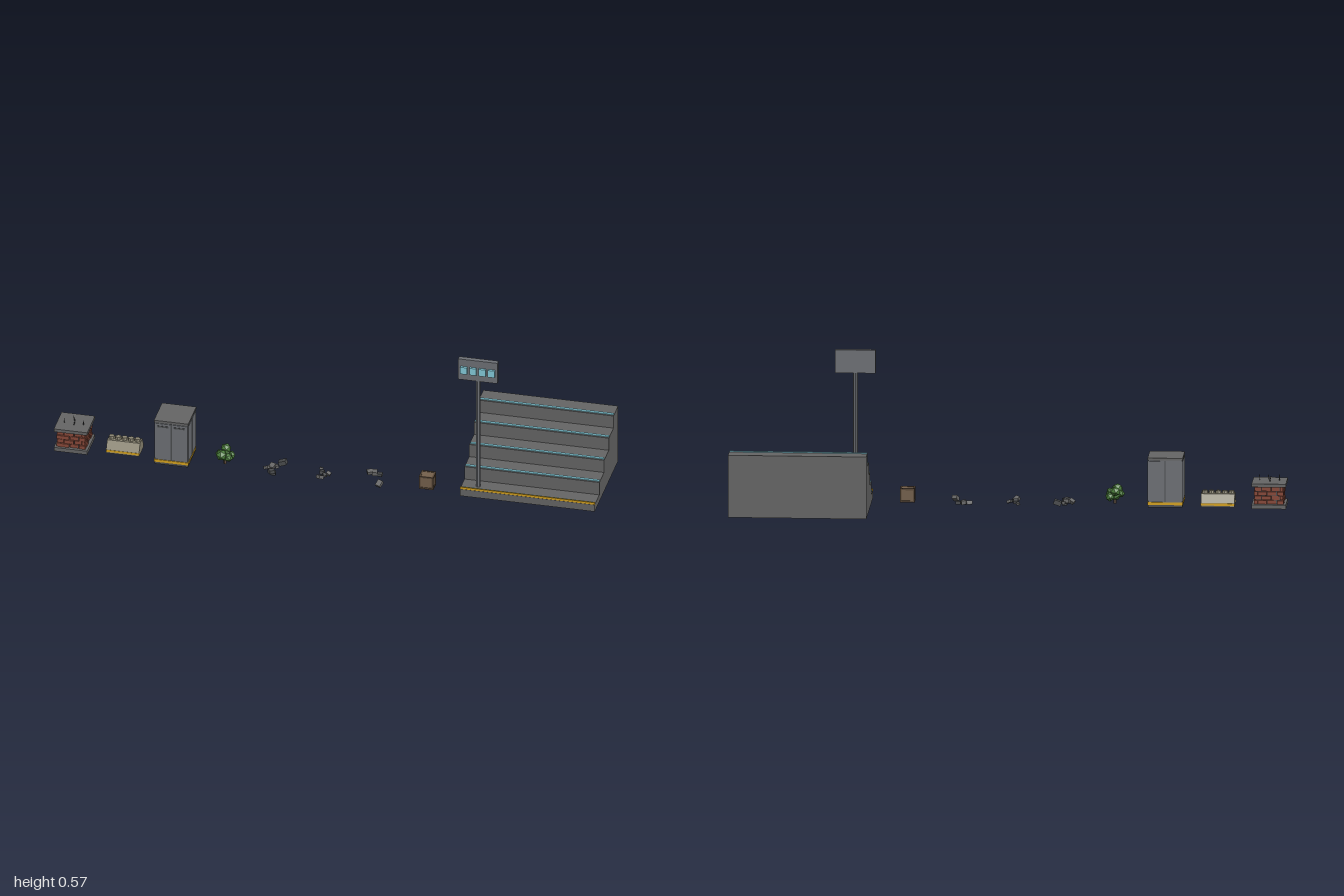
import * as THREE from 'three';

const material = (color) => new THREE.MeshStandardMaterial({ color, flatShading: true });
const M = {
  concrete: material(0x666666), dark: material(0x4c4e50), steel: material(0x6f7277),
  cyan: material(0x86cfde), yellow: material(0xd9a520), wood: material(0x76624d),
  woodDark: material(0x594838), leaf: material(0x4c7f3c), brick: material(0x8a4a3a),
  sand: material(0x8d8875),
};

function add(parent, name, geometry, mat, x = 0, y = 0, z = 0) {
  const mesh = new THREE.Mesh(geometry, mat);
  mesh.name = name;
  mesh.position.set(x, y, z);
  parent.add(mesh);
  return mesh;
}

// Box given by its extents
function box(parent, name, mat, x0, x1, y0, y1, z0, z1) {
  return add(parent, name, new THREE.BoxGeometry(x1 - x0, y1 - y0, z1 - z0), mat,
    (x0 + x1) / 2, (y0 + y1) / 2, (z0 + z1) / 2);
}

function group(parent, name, x = 0, y = 0, z = 0) {
  const g = new THREE.Group();
  g.name = name;
  g.position.set(x, y, z);
  parent.add(g);
  return g;
}

// Stepped seating with a lit strip on each nosing
function bleachers(root) {
  const g = group(root, 'bleachers');
  [0.041, 0.092, 0.142, 0.192, 0.242].forEach((top, i) => {
    const front = 0.174 - i * 0.075;
    box(g, 'step', M.concrete, 0.5, 1, 0.013, top, front - 0.074, front);
    box(g, 'lightStrip', M.cyan, 0.502, 0.998, top, top + 0.003, front - 0.016, front - 0.006);
  });
  box(g, 'warningStrip', M.yellow, 0.5, 1, 0.041, 0.049, 0.168, 0.173);
}

// Tall post with a display board
function scoreboard(root) {
  const g = group(root, 'scoreboard', 0.56, 0, 0.137);
  add(g, 'post', new THREE.CylinderGeometry(0.009, 0.009, 0.443, 8), M.steel, 0, 0.2625, 0);
  box(g, 'board', M.steel, -0.073, 0.073, 0.483, 0.568, -0.009, 0.009);
  for (let i = 0; i < 4; i++) {
    box(g, 'screen', M.cyan, -0.063 + i * 0.034, -0.038 + i * 0.034, 0.511, 0.539, 0.009, 0.018);
  }
}

// Wooden crate with edge battens
function crate(root) {
  const g = group(root, 'crate', 0.371, 0.038, 0.133);
  add(g, 'crateBody', new THREE.BoxGeometry(0.048, 0.048, 0.042), M.wood);
  for (const a of [-1, 1]) {
    for (const b of [-1, 1]) {
      add(g, 'batten', new THREE.BoxGeometry(0.006, 0.051, 0.006), M.woodDark, a * 0.0235, 0, b * 0.0205);
      add(g, 'batten', new THREE.BoxGeometry(0.053, 0.006, 0.006), M.woodDark, 0, a * 0.0225, b * 0.0205);
      add(g, 'batten', new THREE.BoxGeometry(0.006, 0.006, 0.046), M.woodDark, a * 0.0235, b * 0.0225, 0);
    }
  }
}

// Scattered chunks: x, z, size
function rubble(root) {
  const piles = [
    [[-0.173, 0.1, 0.028], [-0.205, 0.133, 0.024], [-0.222, 0.142, 0.02], [-0.2, 0.168, 0.022], [-0.19, 0.125, 0.016]],
    [[-0.03, 0.1, 0.013], [-0.02, 0.13, 0.02], [0.004, 0.132, 0.016], [-0.02, 0.167, 0.022], [-0.008, 0.145, 0.015]],
    [[0.148, 0.09, 0.022], [0.166, 0.093, 0.024], [0.186, 0.097, 0.018], [0.2, 0.166, 0.024]],
  ];
  piles.forEach((pile, p) => {
    const g = group(root, 'rubblePile');
    pile.forEach(([x, z, s], i) => {
      const k = i + p * 5;
      const chunk = add(g, 'chunk', new THREE.BoxGeometry(s, s * 0.6, s * 0.8), k % 3 ? M.concrete : M.dark,
        x, 0.01 + s * 0.4, z);
      chunk.rotation.set(Math.sin(k * 2.1) * 0.35, k * 1.3, Math.cos(k * 1.7) * 0.35);
    });
  });
  // One low chunk touches the ground
  box(root, 'flatChunk', M.dark, -0.204, -0.186, 0, 0.012, 0.15, 0.164);
}

// Clumped low-poly shrub
function bush(root) {
  const g = group(root, 'bush');
  [[-0.378, 0.045, 0.138, 0.024], [-0.385, 0.062, 0.167, 0.021], [-0.362, 0.05, 0.158, 0.018],
    [-0.38, 0.062, 0.115, 0.02], [-0.398, 0.05, 0.138, 0.016], [-0.36, 0.04, 0.122, 0.017]].forEach(([x, y, z, r], i) => {
    const leaf = add(g, 'foliage', new THREE.IcosahedronGeometry(r, 0), M.leaf, x, y, z);
    leaf.rotation.set(i, i * 1.7, 0);
    leaf.scale.y = 0.9;
  });
  add(g, 'stem', new THREE.CylinderGeometry(0.004, 0.006, 0.03, 5), M.woodDark, -0.378, 0.028, 0.14);
}

// Steel cabinet with cap, hazard band and panel seams
function cabinet(root) {
  const g = group(root, 'cabinet', -0.5635, 0, 0.138);
  const h = 0.0635;
  box(g, 'body', M.steel, -0.061, 0.061, 0.013, 0.187, -0.061, 0.061);
  box(g, 'cap', M.concrete, -h, h, 0.187, 0.195, -0.064, 0.064);
  box(g, 'plinth', M.dark, -0.062, 0.062, 0.013, 0.022, -0.062, 0.062);
  box(g, 'hazardBand', M.yellow, -h, h, 0.022, 0.032, -h, h);
  for (let i = 0; i < 4; i++) {
    const side = group(g, 'cabinetSide');
    side.rotation.y = i * Math.PI / 2;
    for (const s of [-1, 1]) {
      box(side, 'panel', M.steel, s * 0.03 - 0.027, s * 0.03 + 0.027, 0.035, 0.183, 0.06, 0.0635);
    }
    box(side, 'seam', M.dark, -0.002, 0.002, 0.033, 0.185, 0.06, 0.062);
  }
  for (const s of [-1, 1]) box(g, 'vent', M.dark, s * 0.03 - 0.02, s * 0.03 + 0.02, 0.168, 0.174, 0.06, 0.065);
}

// Sloped barrier with a row of studs
function barrier(root) {
  const g = group(root, 'barrier', -0.752, 0, 0.13);
  const profile = new THREE.Shape([[-0.035, 0.013], [0.035, 0.013], [0.035, 0.028], [0.018, 0.058], [-0.018, 0.058], [-0.035, 0.028]]
    .map(([x, y]) => new THREE.Vector2(x, y)));
  const body = new THREE.ExtrudeGeometry(profile, { depth: 0.122, bevelEnabled: false });
  body.translate(0, 0, -0.061).rotateY(Math.PI / 2);
  add(g, 'barrierBody', body, M.sand);
  for (const s of [-1, 1]) {
    box(g, 'barrierStripe', M.yellow, -0.0615, 0.0615, 0.018, 0.026, s * 0.0345 - 0.0015, s * 0.0345 + 0.0015);
  }
  for (let i = 0; i < 5; i++) {
    add(g, 'stud', new THREE.CylinderGeometry(0.01, 0.012, 0.01, 8), M.sand, -0.048 + i * 0.024, 0.063, 0);
  }
}

// Broken brick pier between two slabs, with bent reinforcing bars
function brickPier(root) {
  const g = group(root, 'brickPier', -0.938, 0, 0.133);
  box(g, 'lowerSlab', M.concrete, -0.062, 0.062, 0.013, 0.028, -0.062, 0.062);
  box(g, 'upperSlab', M.concrete, -0.062, 0.062, 0.093, 0.105, -0.062, 0.062);
  box(g, 'mortarCore', M.dark, -0.046, 0.046, 0.028, 0.093, -0.046, 0.046);
  for (let row = 0; row < 4; row++) {
    const y = 0.029 + row * 0.016;
    for (let side = 0; side < 4; side++) {
      const course = group(g, 'brickCourse');
      course.rotation.y = side * Math.PI / 2;
      const edges = row % 2 ? [-0.054, -0.027, 0.01, 0.04] : [-0.04, -0.006, 0.028, 0.054];
      for (let i = 0; i < 3; i++) {
        box(course, 'brick', M.brick, edges[i] + 0.0015, edges[i + 1] - 0.0015, y, y + 0.0135, 0.04, 0.054 - (i + row) % 2 * 0.003);
      }
    }
  }
  [[-0.035, 0.01], [-0.003, -0.012], [0.004, 0.015], [0.037, 0.012]].forEach(([x, z], i) => {
    const bar = add(g, 'reinforcingBar', new THREE.CylinderGeometry(0.0015, 0.0015, 0.024, 5), M.dark, x, 0.113, z);
    bar.rotation.set(0.2 * Math.cos(i * 2), 0, 0.25 * Math.sin(i * 2));
  });
}

export function createModel() {
  const root = new THREE.Group();
  root.name = 'arenaProps';
  [bleachers, scoreboard, crate, rubble, bush, cabinet, barrier, brickPier].forEach((build) => build(root));
  return root;
}
